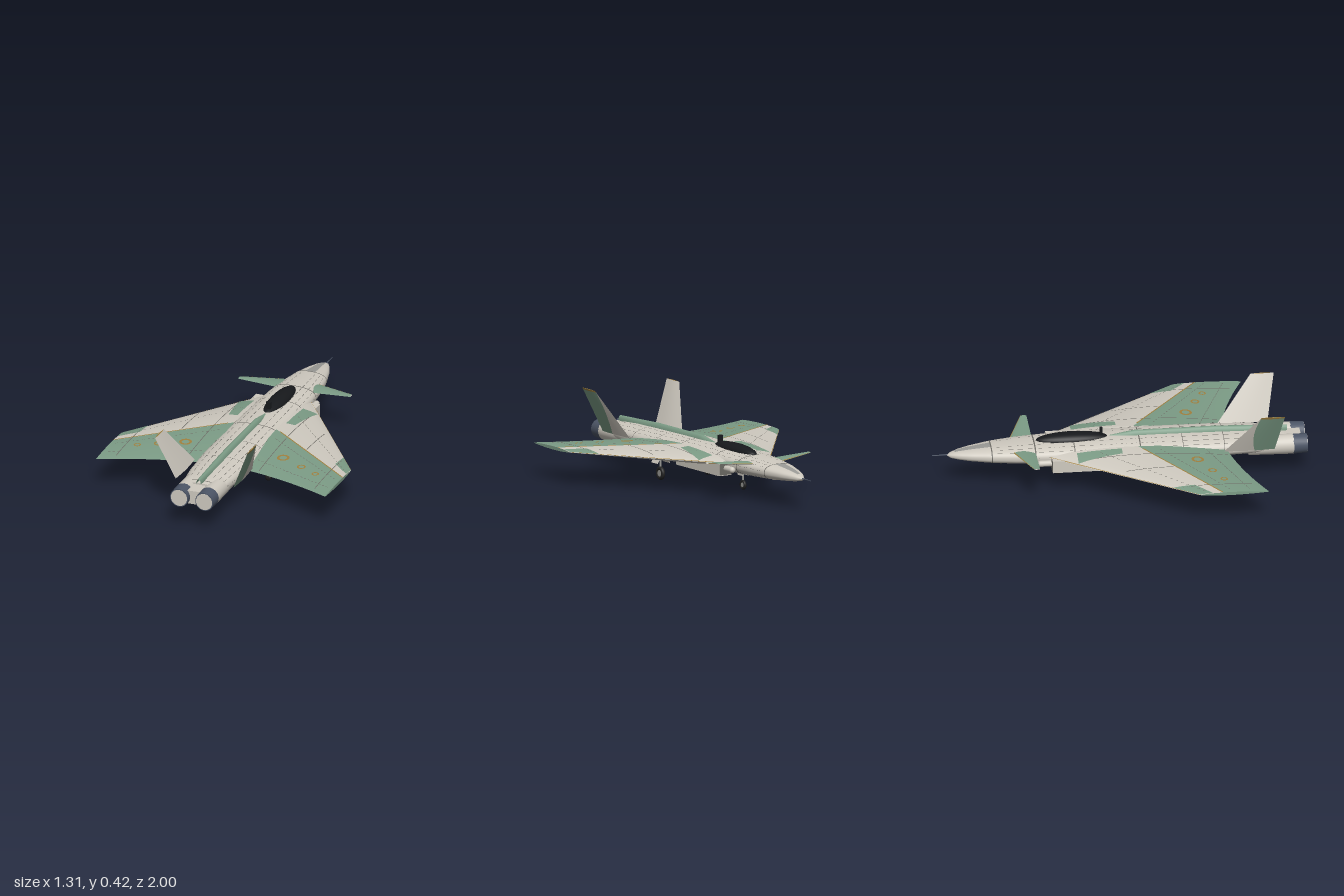
import * as THREE from 'three';
import { mergeVertices, mergeGeometries } from 'three/addons/utils/BufferGeometryUtils.js';

const paint = (name, color) => {
  const m = new THREE.MeshStandardMaterial({ color, side: THREE.DoubleSide });
  m.name = name;
  return m;
};

// Surface patch from a rule f(u, v) -> [x, y, z]
function patch(f, nu, nv) {
  const pos = [], idx = [];
  for (let j = 0; j <= nv; j++) for (let i = 0; i <= nu; i++) pos.push(...f(i / nu, j / nv));
  for (let j = 0; j < nv; j++) for (let i = 0; i < nu; i++) {
    const a = j * (nu + 1) + i, b = a + 1, c = a + nu + 1, d = c + 1;
    idx.push(a, c, b, b, c, d);
  }
  const g = new THREE.BufferGeometry();
  g.setAttribute('position', new THREE.Float32BufferAttribute(pos, 3));
  g.setIndex(idx);
  const merged = mergeVertices(g, 1e-5);
  merged.computeVertexNormals();
  return merged;
}

const lerp = THREE.MathUtils.lerp;

// Fuselage stations: z, half width, bottom, top
const STATIONS = [
  [-0.92, 0.003, 0.163, 0.168], [-0.9, 0.022, 0.152, 0.179], [-0.86, 0.042, 0.145, 0.19],
  [-0.8, 0.064, 0.139, 0.2], [-0.69, 0.093, 0.131, 0.213], [-0.56, 0.115, 0.126, 0.222],
  [-0.4, 0.13, 0.122, 0.228], [-0.1, 0.14, 0.121, 0.234], [0.2, 0.146, 0.12, 0.235],
  [0.5, 0.146, 0.12, 0.232], [0.7, 0.134, 0.122, 0.228], [0.82, 0.118, 0.124, 0.22], [0.88, 0.112, 0.126, 0.212],
];
// Point on the fuselage skin; angle 0 is the top
function skin(z, a, out = 0) {
  let i = 0;
  while (i < STATIONS.length - 2 && z > STATIONS[i + 1][0]) i++;
  const p = STATIONS[i], q = STATIONS[i + 1], t = (z - p[0]) / (q[0] - p[0]);
  const [w, lo, hi] = [1, 2, 3].map((k) => lerp(p[k], q[k], t));
  const round = (n) => Math.sign(n) * Math.abs(n) ** 0.82;
  return [(w + out) * round(Math.sin(a)), (lo + hi) / 2 + ((hi - lo) / 2 + out) * round(Math.cos(a)), z];
}
const skinStrip = (z0, z1, a0, a1, nu, nv, out = 0.002) =>
  patch((u, v) => skin(lerp(z0, z1, v), lerp(a0, a1, u), out), nu, nv);

// Lifting surface: spans x0..x1, side +1 is the upper skin
function foil({ x0, x1, le, te, mid, half }) {
  const at = (s, x, f, side, out = 0) => {
    const t = (x - x0) / (x1 - x0);
    const bulge = Math.max(0, Math.sin(Math.PI * Math.min(1, f) ** 0.85)) ** 0.8;
    return [s * x, mid(t) + side * (half(t) * bulge + out), lerp(le(t), te(t), f)];
  };
  const frac = (x, z) => {
    const t = (x - x0) / (x1 - x0);
    return THREE.MathUtils.clamp((z - le(t)) / (te(t) - le(t)), 0, 1);
  };
  return {
    at, frac,
    // part of one skin between two chord fractions
    part: (s, side, f0, f1, out = 0) => patch((u, v) => {
      const x = lerp(x0, x1, v);
      return at(s, x, lerp(f0(x), f1(x), u), side, out);
    }, 14, 16),
    // thin overlay given by plan position (x, z)
    overlay: (s, plan, nu = 6, nv = 6, side = 1) => patch((u, v) => {
      const [x, z] = plan(u, v);
      return at(s, x, frac(x, z), side, 0.002);
    }, nu, nv),
  };
}

export function createModel() {
  const M = {
    light: paint('warm light grey', 0xcfcac0), green: paint('sage green', 0x7c9c86),
    black: paint('canopy black', 0x17191c), steel: paint('nozzle blue grey', 0x4c5566),
    line: paint('panel line grey', 0x6c6a64), ochre: paint('ochre trim', 0xa0803f),
    grey: paint('mid grey', 0x9a9a96), tyre: paint('tyre black', 0x222222),
  };
  const model = new THREE.Group();
  model.name = 'jetAircraft';
  const add = (name, geo, mat, x = 0, y = 0, z = 0, parent = model) => {
    const m = new THREE.Mesh(geo, mat);
    m.name = name;
    m.position.set(x, y, z);
    parent.add(m);
    return m;
  };
  const along = (r0, r1, len, n = 32) => new THREE.CylinderGeometry(r1, r0, len, n).rotateX(Math.PI / 2); // r0 at -z, r1 at +z
  const box = (x, y, z) => new THREE.BoxGeometry(x, y, z);

  // Fuselage with its closed rear
  add('fuselage', skinStrip(-0.92, 0.88, -Math.PI, Math.PI, 48, 90, 0), M.light);
  add('fuselageRear', patch((u, v) => {
    const p = skin(0.88, u * 2 * Math.PI);
    return [p[0] * v, lerp(0.168, p[1], v), 0.88];
  }, 48, 1), M.light);
  add('nosePanel', skinStrip(-0.88, -0.69, -0.22, 0.22, 6, 10), M.grey);
  add('pitotTube', along(0.002, 0.004, 0.09, 8), M.steel, 0, 0.167, -0.955);

  // Panel seams around and along the fuselage
  const seams = [];
  for (const [z, w] of [[-0.69, 0.006], [-0.46, 0.007], [-0.25, 0.005], [0.1, 0.006], [0.33, 0.003], [0.55, 0.003], [0.85, 0.005]])
    seams.push(skinStrip(z, z + w, -Math.PI, Math.PI, 48, 1));
  for (const a of [0.3, 0.62, 0.95, 1.45, 2.1, 2.6])
    for (const s of [-1, 1])
      for (let z = -0.66; z < 0.8; z += 0.055)
        seams.push(skinStrip(z, z + 0.032, s * a, s * (a + 0.025), 1, 1));
  add('panelSeams', mergeGeometries(seams), M.line);

  // Canopy, rear post and dorsal spine
  const canopy = add('canopy', new THREE.SphereGeometry(1, 32, 20), M.black, 0, 0.225, -0.25);
  canopy.scale.set(0.052, 0.037, 0.195);
  add('canopyPost', box(0.026, 0.04, 0.014), M.black, 0, 0.262, -0.095);
  const spineAt = (u, v) => {
    const z = lerp(-0.06, 0.9, v), a = (u - 0.5) * Math.PI;
    const rise = Math.min(1, v * 7) * (1 - 0.6 * Math.max(0, (v - 0.6) / 0.4));
    const w = 0.022 * Math.min(1, 0.4 + v * 5) * (v > 0.75 ? 1 - (v - 0.75) * 1.6 : 1);
    return [w * Math.sin(a), 0.215 + (0.018 + 0.024 * rise) * Math.cos(a), z];
  };
  add('dorsalSpine', patch(spineAt, 12, 40), M.green);

  const wing = foil({
    x0: 0.12, x1: 0.657, le: (t) => -0.4 + 0.76 * t, te: (t) => 0.56 + 0.09 * t + 0.08 * t * t,
    mid: () => 0.181, half: (t) => lerp(0.04, 0.009, t),
  });
  const canard = foil({
    x0: 0.09, x1: 0.32, le: (t) => -0.575 + 0.085 * t, te: () => -0.457,
    mid: (t) => lerp(0.203, 0.215, t), half: (t) => lerp(0.008, 0.003, t),
  });
  const colourEdge = (x) => 0.09 + (x - 0.12) * 0.73;
  const edgeFrac = (x) => wing.frac(x, colourEdge(x));
  const zero = () => 0, one = () => 1;

  for (const s of [1, -1]) {
    const side = new THREE.Group();
    side.name = s > 0 ? 'leftSide' : 'rightSide';
    model.add(side);
    const put = (name, geo, mat, x = 0, y = 0, z = 0) => add(name, geo, mat, s * x, y, z, side);

    // Wing skins, light ahead and green behind
    put('wingFront', mergeGeometries([1, -1].map((k) => wing.part(s, k, zero, edgeFrac))), M.light);
    put('wingRear', mergeGeometries([1, -1].map((k) => wing.part(s, k, edgeFrac, one))), M.green);
    put('wingTip', patch((u, v) => wing.at(s, 0.657, u, v * 2 - 1), 16, 1), M.green);
    put('wingTipPatch', wing.overlay(s, (u, v) => {
      const x = lerp(0.56, 0.656, v), z = -0.4 + (x - 0.12) * 1.4153;
      return [x, z + u * lerp(0.12, 0.07, v)];
    }), M.green);
    put('wingRootPatch', wing.overlay(s, (u, v) =>
      [lerp(0.14, lerp(0.225, 0.19, v), u), lerp(-0.24, 0, v)]), M.green);
    put('wingTrim', mergeGeometries([
      wing.overlay(s, (u, v) => { const x = lerp(0.15, 0.656, v); return [x, colourEdge(x) + (u - 0.5) * 0.009]; }, 1, 16),
      wing.part(s, 1, zero, () => 0.006, 0.002),
    ]), M.ochre);

    // Wing seams, chordwise and dashed spanwise
    const lines = [[0.21, -0.15, 0.56], [0.36, 0, 0.25], [0.57, 0.28, 0.66]].map(([x, z0, z1]) =>
      wing.overlay(s, (u, v) => [x + (u - 0.5) * 0.004, lerp(z0, z1, v)], 1, 24));
    for (const [z0, z1] of [[-0.12, 0.4], [0.2, 0.53], [0.45, 0.63]])
      for (let k = 0; k < 20; k++)
        lines.push(wing.overlay(s, (u, v) => {
          const t = (k + v * 0.55) / 20;
          return [lerp(0.16, 0.64, t), lerp(z0, z1, t) + u * 0.004];
        }, 1, 1));
    put('wingSeams', mergeGeometries(lines), M.line);

    // Ochre rings on the green area
    put('wingRings', mergeGeometries([[0.28, 0.39, 0.034], [0.41, 0.455, 0.024], [0.51, 0.505, 0.02]].map(([x, z, r]) =>
      wing.overlay(s, (u, v) => {
        const a = u * Math.PI * 2, q = r * lerp(0.6, 1, v);
        return [x + q * Math.cos(a), z + q * Math.sin(a)];
      }, 16, 1))), M.ochre);

    // Canard
    put('canardTop', canard.part(s, 1, zero, one), M.green);
    put('canardUnderside', canard.part(s, -1, zero, one), M.light);
    put('canardTrim', canard.part(s, 1, zero, () => 0.05, 0.001), M.ochre);

    // Outward-leaning tail fin; u runs front to back, v upward
    const fin = (u, v, k) => [
      s * (lerp(0.165, 0.265, v) + k * 0.007 * Math.sin(Math.PI * u) * (1 - 0.5 * v)),
      lerp(0.185, 0.422, v), lerp(lerp(0.545, 0.735, v), lerp(0.815, 0.86, v), u)];
    const finEdge = (v) => 0.6 * (1 - v);
    put('finInner', patch((u, v) => fin(u, v, -1), 12, 8), M.light);
    put('finOuterFront', patch((u, v) => fin(u * finEdge(v), v, 1), 8, 8), M.light);
    put('finOuterRear', patch((u, v) => fin(lerp(finEdge(v), 1, u), v, 1), 8, 8), M.green);
    put('finTip', patch((u, v) => fin(u, 1, v * 2 - 1), 12, 1), M.ochre);
    put('finTrim', patch((u, v) => fin(u, lerp(0.96, 1, v), 1.5), 8, 1), M.ochre);

    // Air intake and the small pod ahead of it
    put('intake', box(0.08, 0.068, 0.43), M.light, 0.143, 0.151, -0.158);
    put('intakeLip', box(0.074, 0.06, 0.004), M.line, 0.143, 0.151, -0.374);
    put('intakePod', new THREE.CapsuleGeometry(0.017, 0.06, 6, 16).rotateX(Math.PI / 2), M.light, 0.138, 0.155, -0.405);

    // Engine
    put('engineNacelle', along(0.05, 0.054, 0.24), M.light, 0.072, 0.164, 0.805);
    put('nozzle', along(0.054, 0.051, 0.075), M.steel, 0.072, 0.164, 0.9605);
    put('nozzleFace', along(0.046, 0.046, 0.004), M.light, 0.072, 0.164, 0.998);

    // Main landing gear
    put('mainTyre', new THREE.TorusGeometry(0.026, 0.011, 12, 28).rotateY(Math.PI / 2), M.tyre, 0.148, 0.037, 0.265);
    put('mainHub', new THREE.CylinderGeometry(0.018, 0.018, 0.014, 20).rotateZ(Math.PI / 2), M.grey, 0.148, 0.037, 0.265);
    put('mainStrut', new THREE.CylinderGeometry(0.006, 0.006, 0.1, 10), M.grey, 0.148, 0.095, 0.265);
    put('mainCrossbar', box(0.055, 0.008, 0.075), M.tyre, 0.148, 0.127, 0.265);
    for (const k of [-1, 1]) {
      const door = put('mainGearDoor', box(0.004, 0.042, 0.06), M.light, 0.148 + k * 0.028, 0.112, 0.265);
      door.rotation.z = s * k * 0.5;
    }
  }

  // Fairing between the engines
  add('engineFairing', box(0.07, 0.075, 0.14), M.light, 0, 0.165, 0.9);

  // Nose landing gear
  add('noseTyre', new THREE.TorusGeometry(0.019, 0.008, 12, 24).rotateY(Math.PI / 2), M.tyre, 0, 0.047, -0.324);
  add('noseHub', new THREE.CylinderGeometry(0.013, 0.013, 0.01, 18).rotateZ(Math.PI / 2), M.grey, 0, 0.047, -0.324);
  add('noseStrut', new THREE.CylinderGeometry(0.005, 0.005, 0.08, 10), M.grey, 0, 0.092, -0.324);
  for (const k of [-1, 1]) add('noseGearDoor', box(0.003, 0.025, 0.05), M.light, k * 0.018, 0.112, -0.324);

  return model;
}
